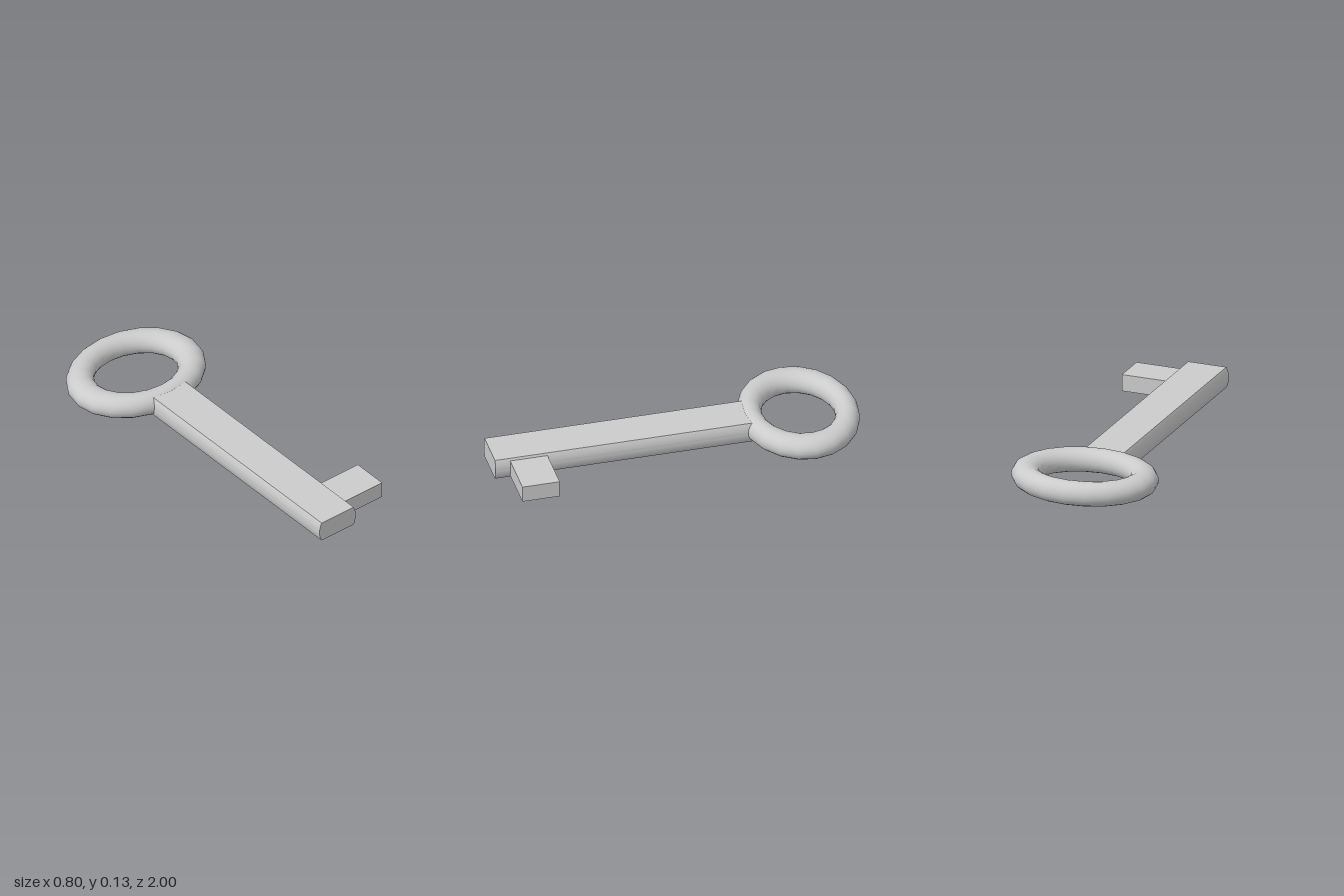
import * as THREE from 'three';
import { toCreasedNormals } from 'three/addons/utils/BufferGeometryUtils.js';

export function createModel() {
  const model = new THREE.Group();
  model.name = 'key';
  const material = new THREE.MeshStandardMaterial({ color: 0xcccccc });

  const add = (name, geometry, x, y, z) => {
    const mesh = new THREE.Mesh(geometry, material);
    mesh.name = name;
    mesh.position.set(x, y, z);
    model.add(mesh);
    return mesh;
  };

  // Oval ring handle, lying flat
  const ring = new THREE.TorusGeometry(0.32, 0.08, 20, 20);
  ring.rotateX(-Math.PI / 2).scale(1, 0.825, 0.8);
  add('handleRing', ring, 0, 0.066, -0.68);

  // Shaft: a round bar cut flat above and below
  const radius = 0.123;
  const halfHeight = 0.0575;
  const angle = Math.asin(halfHeight / radius);
  const section = new THREE.Shape();
  section.absarc(0, 0, radius, -angle, angle, false);
  section.absarc(0, 0, radius, Math.PI - angle, Math.PI + angle, false);
  section.closePath();
  const shaft = new THREE.ExtrudeGeometry(section, {
    depth: 1.42, bevelEnabled: false, curveSegments: 8,
  });
  add('shaft', toCreasedNormals(shaft, 0.5), 0, 0.0625, -0.42);

  // Single bit on the left side near the tip
  add('bit', new THREE.BoxGeometry(0.29, 0.092, 0.203), 0.225, 0.061, 0.817);

  return model;
}
